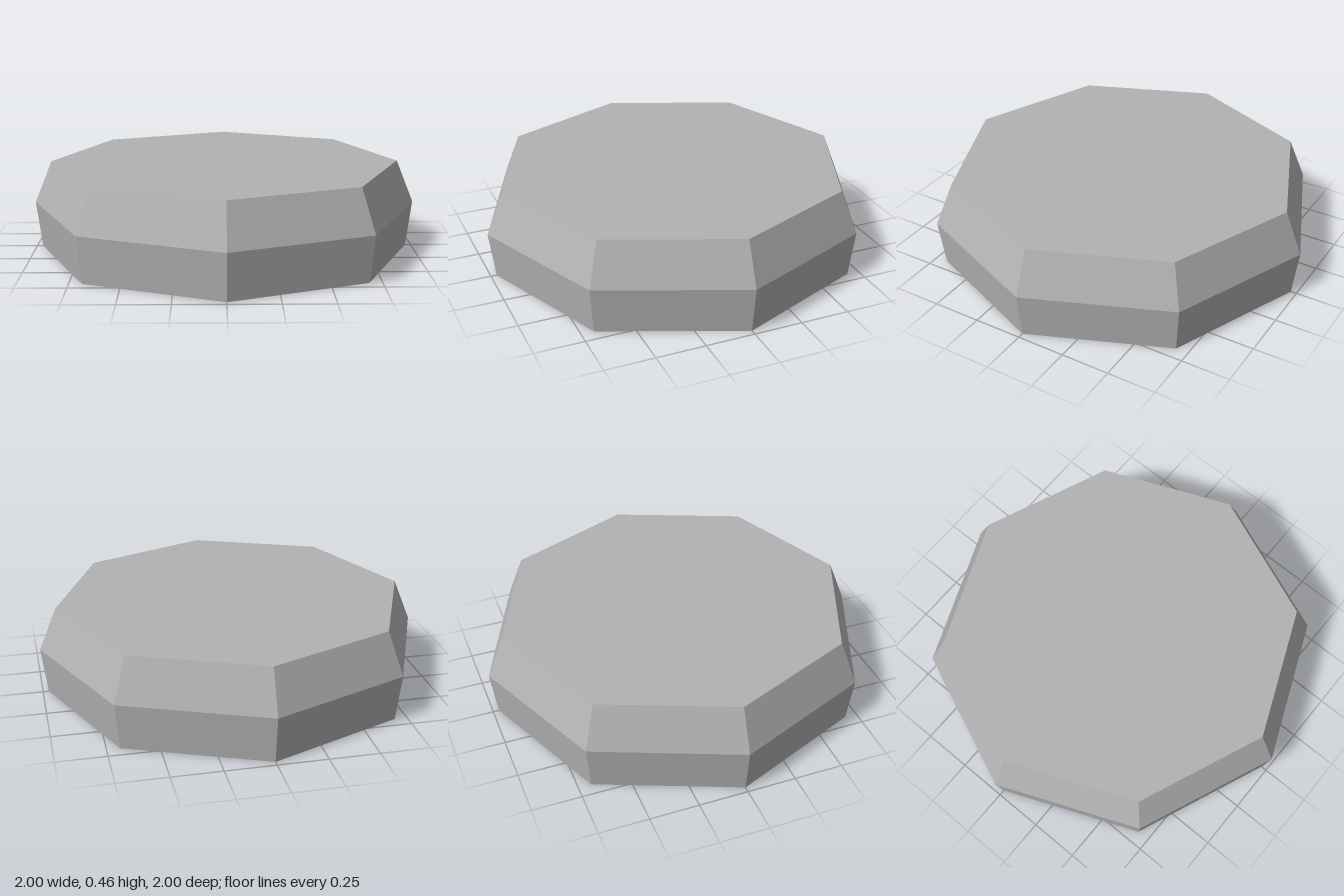
import * as THREE from 'three';

const SIDES = 8;
const HEIGHT = 0.46;
const BOTTOM_RADIUS = 0.97;
const TOP_RADIUS = 0.91;

export function createModel() {
  const group = new THREE.Group();
  group.name = 'octagonalSlab';

  const stone = new THREE.MeshStandardMaterial({ color: 0xb2b2b2 });
  stone.name = 'stone grey';

  const add = (name, geometry) => {
    const mesh = new THREE.Mesh(geometry, stone);
    mesh.name = name;
    group.add(mesh);
    return mesh;
  };

  // Faceted rim: flares slightly to the middle, then bevels in to the top
  const profile = [
    new THREE.Vector2(BOTTOM_RADIUS, 0),
    new THREE.Vector2(1, 0.24),
    new THREE.Vector2(TOP_RADIUS, HEIGHT),
  ];
  const rim = new THREE.LatheGeometry(profile, SIDES).toNonIndexed();
  rim.computeVertexNormals();
  add('rim', rim);

  // Flat top and underside
  const top = add('topFace', new THREE.CircleGeometry(TOP_RADIUS, SIDES).rotateX(-Math.PI / 2));
  top.position.y = HEIGHT;
  add('bottomFace', new THREE.CircleGeometry(BOTTOM_RADIUS, SIDES).rotateX(Math.PI / 2));

  return group;
}
